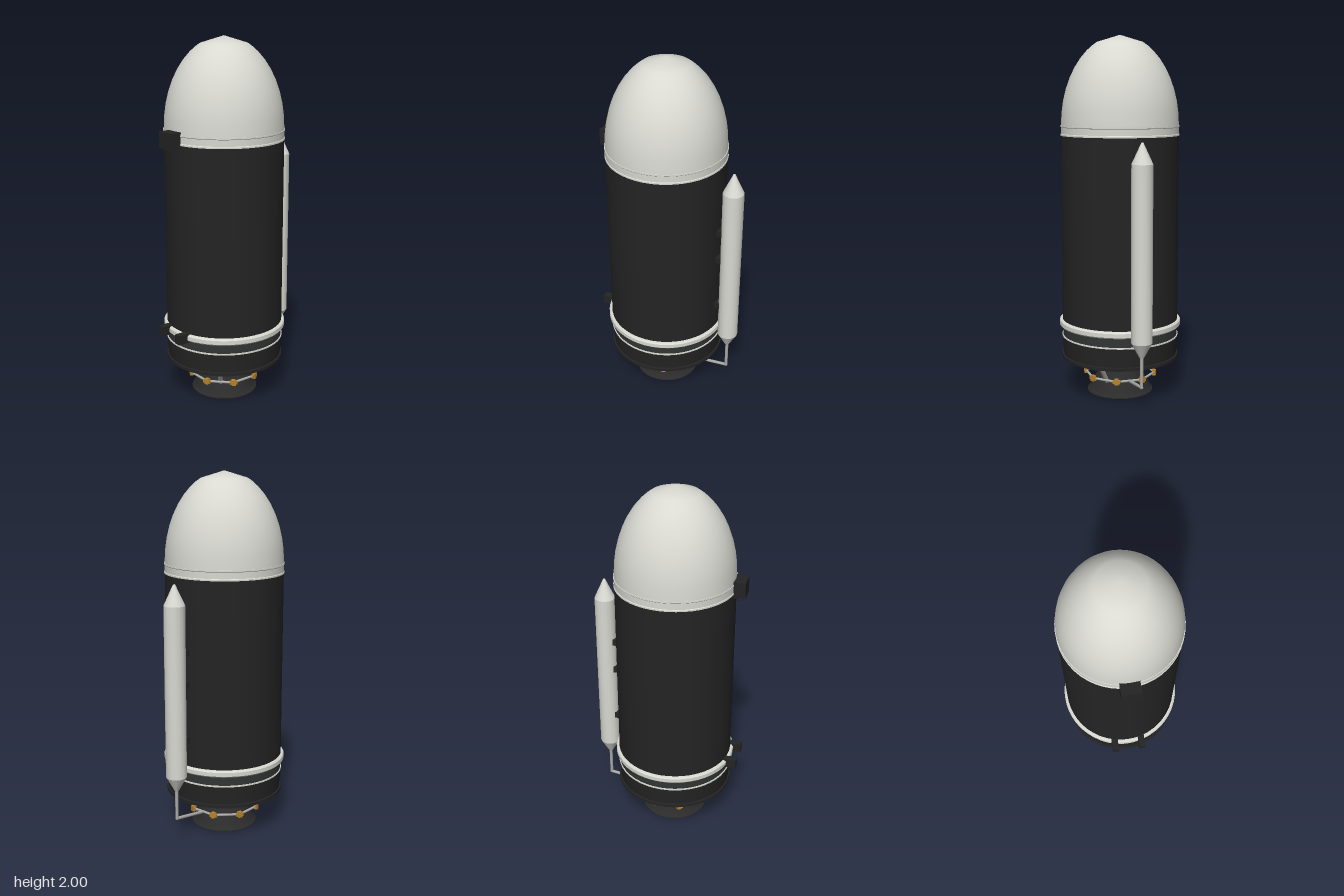
import * as THREE from 'three';
import { toCreasedNormals } from 'three/addons/utils/BufferGeometryUtils.js';

const mat = (name, color, extra = {}) => {
  const m = new THREE.MeshStandardMaterial({ color, ...extra });
  m.name = name;
  return m;
};

export function createModel() {
  const white = mat('white paint', 0xd9d9d2);
  const black = mat('black panel', 0x242424);
  const grey = mat('dark grey', 0x333535);
  const engineGrey = mat('engine grey', 0x2b2b2b, { side: THREE.DoubleSide });
  const steel = mat('steel pipe', 0xa9a9a6);
  const gold = mat('gold fitting', 0xb5822e);

  const model = new THREE.Group();
  model.name = 'rocketBooster';
  const core = new THREE.Group(); // everything centred on the main axis
  core.name = 'core';
  core.position.x = -0.036;
  model.add(core);

  const add = (parent, name, geometry, material, x = 0, y = 0, z = 0) => {
    const mesh = new THREE.Mesh(geometry, material);
    mesh.name = name;
    mesh.position.set(x, y, z);
    parent.add(mesh);
    return mesh;
  };
  // Turned part from [radius, height] pairs, listed bottom to top
  const turned = (parent, name, profile, material, sides = 48, crease = 0.42) => {
    const pts = profile.map(([r, y]) => new THREE.Vector2(r, y));
    const g = toCreasedNormals(new THREE.LatheGeometry(pts, sides), crease);
    return add(parent, name, g, material);
  };
  const V = (x, y, z) => new THREE.Vector3(x, y, z);
  const rod = (parent, name, a, b, r, material) => {
    const d = b.clone().sub(a);
    const mesh = add(parent, name, new THREE.CylinderGeometry(r, r, d.length(), 10), material);
    mesh.position.copy(a).addScaledVector(d, 0.5);
    mesh.quaternion.setFromUnitVectors(V(0, 1, 0), d.normalize());
    return mesh;
  };

  // Nose: half ellipse with a blunt faceted tip
  const nose = [];
  for (const deg of [90, 82, 74, 66, 58, 50, 42, 34, 28, 23, 0]) {
    const a = THREE.MathUtils.degToRad(deg);
    nose.push([0.325 * Math.sin(a), 1.51 + 0.49 * Math.cos(a)]);
  }
  nose[nose.length - 1][0] = 0;
  turned(core, 'noseCone', nose, white, 48, 0.7);

  // Main body, bands and skirt
  turned(core, 'noseBand', [[0.32, 1.455], [0.329, 1.455], [0.329, 1.463], [0.326, 1.466],
    [0.326, 1.5], [0.329, 1.503], [0.329, 1.51], [0.32, 1.51]], white);
  turned(core, 'mainBody', [[0.325, 0.42], [0.325, 1.457]], black);
  turned(core, 'lowerRing', [[0.322, 0.387], [0.336, 0.389], [0.342, 0.396], [0.342, 0.418],
    [0.336, 0.425], [0.322, 0.427]], white);
  turned(core, 'skirtBand', [[0.323, 0.335], [0.323, 0.39]], grey);
  turned(core, 'skirtSeam', [[0.32, 0.329], [0.328, 0.329], [0.328, 0.337], [0.32, 0.337]], white);
  turned(core, 'skirt', [[0, 0.207], [0.328, 0.207], [0.328, 0.224], [0.319, 0.226],
    [0.323, 0.28], [0.326, 0.331]], black);

  // Engine with open bell
  turned(core, 'engineThroat', [[0.11, 0.14], [0.1, 0.157], [0.082, 0.172], [0.062, 0.185],
    [0.075, 0.195], [0.1, 0.208]], engineGrey, 32, 0.7);
  turned(core, 'engineBell', [[0.181, 0], [0.186, 0.003], [0.186, 0.009], [0.178, 0.013],
    [0.165, 0.04], [0.145, 0.075], [0.126, 0.11], [0.11, 0.14]], engineGrey, 32, 0.7);

  // Eight-sided manifold with a fitting at each corner
  const ringY = 0.104;
  const corner = (i) => {
    const a = (i + 0.5) * Math.PI / 4;
    return V(0.195 * Math.cos(a), ringY, 0.195 * Math.sin(a));
  };
  for (let i = 0; i < 8; i++) {
    const p = corner(i);
    rod(core, 'manifoldPipe', p, corner(i + 1), 0.007, steel);
    const fitting = new THREE.Group();
    fitting.name = 'manifoldFitting';
    fitting.position.copy(p);
    fitting.rotation.y = -(i + 0.5) * Math.PI / 4;
    core.add(fitting);
    add(fitting, 'fittingBlock', new THREE.BoxGeometry(0.022, 0.032, 0.022), gold);
    add(fitting, 'fittingCollar', new THREE.BoxGeometry(0.016, 0.02, 0.042), gold);
  }

  // Two thrust struts at the front
  for (const s of [-1, 1]) {
    rod(core, 'engineStrut', V(s * 0.17, 0.215, 0.17), V(s * 0.108, 0.09, 0.108), 0.013, steel);
  }

  // Side tank and its feed pipe
  const tankX = 0.362;
  const tank = turned(model, 'sideTank', [[0, 0.3], [0.012, 0.3], [0.057, 0.382],
    [0.057, 1.325], [0.006, 1.435], [0, 1.437]], white, 16);
  tank.position.x = tankX;
  const elbow = V(tankX, 0.137, 0);
  rod(model, 'feedPipe', V(tankX, 0.31, 0), elbow, 0.009, steel);
  rod(model, 'feedPipe', elbow, V(0.144, ringY, 0), 0.009, steel);
  add(model, 'feedElbow', new THREE.SphereGeometry(0.0095, 10, 8), steel, tankX, 0.137, 0);
  for (const y of [0.58, 0.89, 1.065]) {
    add(model, 'tankClip', new THREE.BoxGeometry(0.05, 0.036, 0.066), black, 0.303, y, 0);
  }

  // Mounting brackets on the opposite side
  add(model, 'upperBracket', new THREE.BoxGeometry(0.08, 0.09, 0.104), black, -0.381, 1.48, 0);
  for (const s of [-1, 1]) {
    add(model, 'lowerBracket', new THREE.BoxGeometry(0.085, 0.052, 0.038), black, -0.376, 0.407, s * 0.08);
  }

  return model;
}
